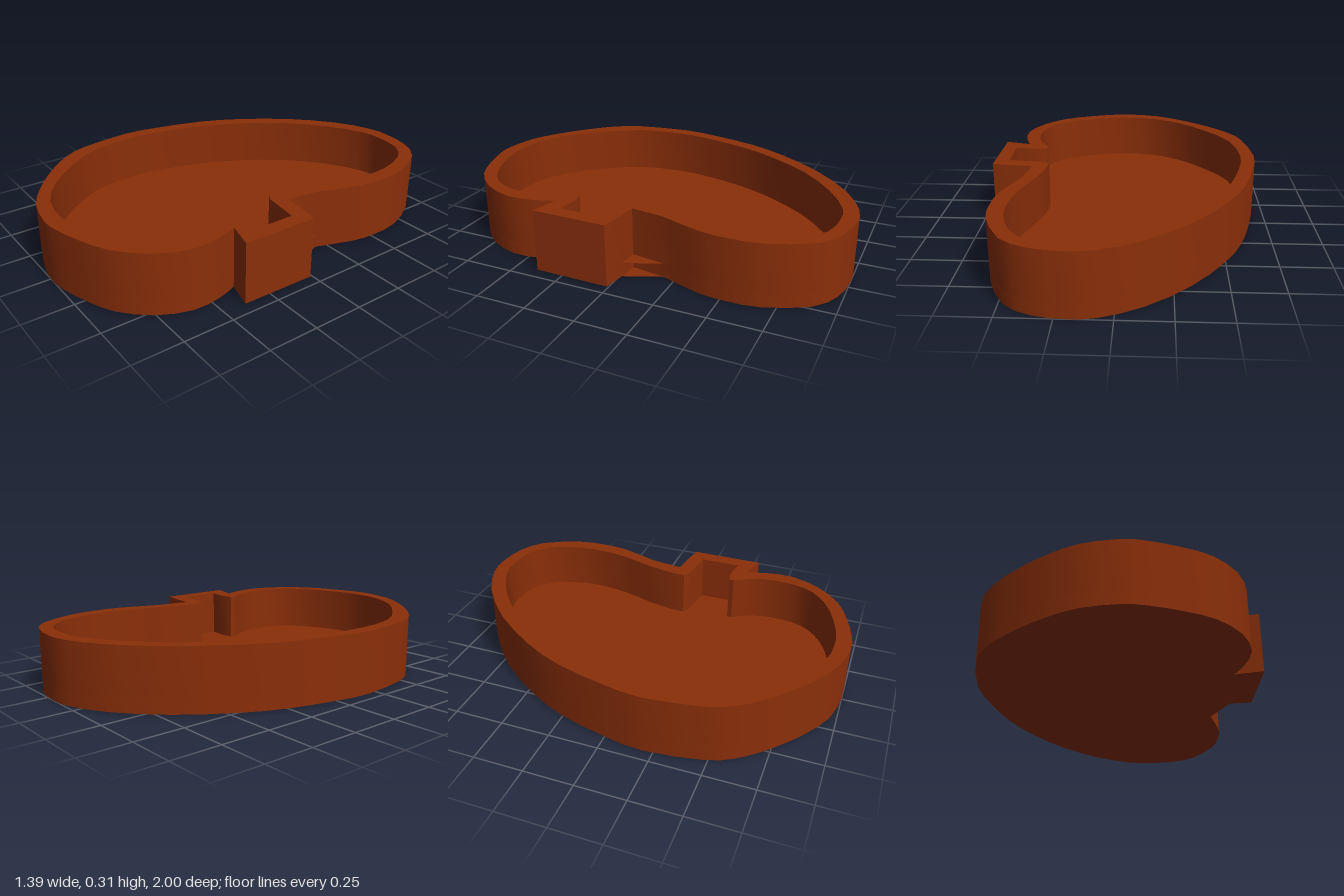
import * as THREE from 'three';
import { toCreasedNormals } from 'three/addons/utils/BufferGeometryUtils.js';

const HEIGHT = 0.31;
const FLOOR = 0.07;

// Points are [x, z] seen from above
const vectors = (pts) => pts.map(([x, z]) => new THREE.Vector2(x, z));
const smooth = (pts) => new THREE.SplineCurve(vectors(pts)).getPoints((pts.length - 1) * 2);

// Upright prism between two heights
function prism(name, shape, bottom, top, material) {
  const geo = new THREE.ExtrudeGeometry(shape, { depth: top - bottom, bevelEnabled: false });
  geo.rotateX(Math.PI / 2);
  geo.translate(0, top, 0);
  const mesh = new THREE.Mesh(toCreasedNormals(geo, 0.4), material);
  mesh.name = name;
  return mesh;
}

export function createModel() {
  const group = new THREE.Group();
  group.name = 'kidneyTray';
  const color = 0x8b2f09;
  const material = new THREE.MeshStandardMaterial({ color });
  const thinMaterial = new THREE.MeshStandardMaterial({ color, side: THREE.DoubleSide });

  // Outer kidney curve, from behind the spout round to its front
  const outerCurve = smooth([
    [0.505, -0.19], [0.575, -0.39], [0.59, -0.53], [0.575, -0.69], [0.48, -0.89],
    [0.35, -0.975], [0.2, -1], [0.07, -0.985], [-0.12, -0.89], [-0.33, -0.7],
    [-0.5, -0.46], [-0.6, -0.25], [-0.665, 0], [-0.693, 0.2], [-0.655, 0.48],
    [-0.6, 0.605], [-0.52, 0.705], [-0.42, 0.8], [-0.31, 0.885], [-0.17, 0.965],
    [0, 1], [0.11, 0.99], [0.26, 0.945], [0.4, 0.88], [0.525, 0.755],
    [0.593, 0.595], [0.583, 0.45], [0.55, 0.35],
  ]);
  const spout = vectors([[0.687, 0.388], [0.693, 0.01], [0.58, -0.01]]);
  const notch = vectors([[0.48, -0.02]]);

  // Inner edge of the rim, wound against the outer edge
  const innerCurve = smooth([
    [0.4, 0.03], [0.405, -0.05], [0.435, -0.19], [0.485, -0.35], [0.51, -0.5],
    [0.505, -0.65], [0.45, -0.81], [0.35, -0.905], [0.2, -0.927], [0.08, -0.91],
    [-0.1, -0.81], [-0.29, -0.64], [-0.44, -0.42], [-0.53, -0.23], [-0.595, 0],
    [-0.62, 0.2], [-0.585, 0.45], [-0.465, 0.645], [-0.31, 0.81], [-0.15, 0.9],
    [0, 0.923], [0.13, 0.91], [0.3, 0.855], [0.42, 0.78], [0.49, 0.69],
    [0.515, 0.58], [0.51, 0.46], [0.48, 0.375], [0.44, 0.305],
  ]);
  const innerSpout = vectors([
    [0.445, 0.28], [0.5, 0.268], [0.615, 0.283], [0.615, 0.075], [0.55, 0.065], [0.43, 0.05],
  ]);
  const innerEdge = [...innerCurve, ...innerSpout].reverse();

  // Floor slab
  const outline = [...outerCurve, ...spout, ...notch];
  group.add(prism('floor', new THREE.Shape(outline), 0, FLOOR, material));

  // Wall standing on the floor
  const wallShape = new THREE.Shape(outline);
  wallShape.holes.push(new THREE.Path(innerEdge));
  group.add(prism('wall', wallShape, FLOOR, HEIGHT, material));

  // Thin webs across the notch, level with the floor's two faces
  const webShape = new THREE.Shape([outerCurve[0], spout[2], notch[0]]);
  for (const [name, y] of [['lowerWeb', 0], ['upperWeb', FLOOR]]) {
    const web = new THREE.Mesh(new THREE.ShapeGeometry(webShape).rotateX(Math.PI / 2), thinMaterial);
    web.position.y = y;
    web.name = name;
    group.add(web);
  }

  return group;
}
